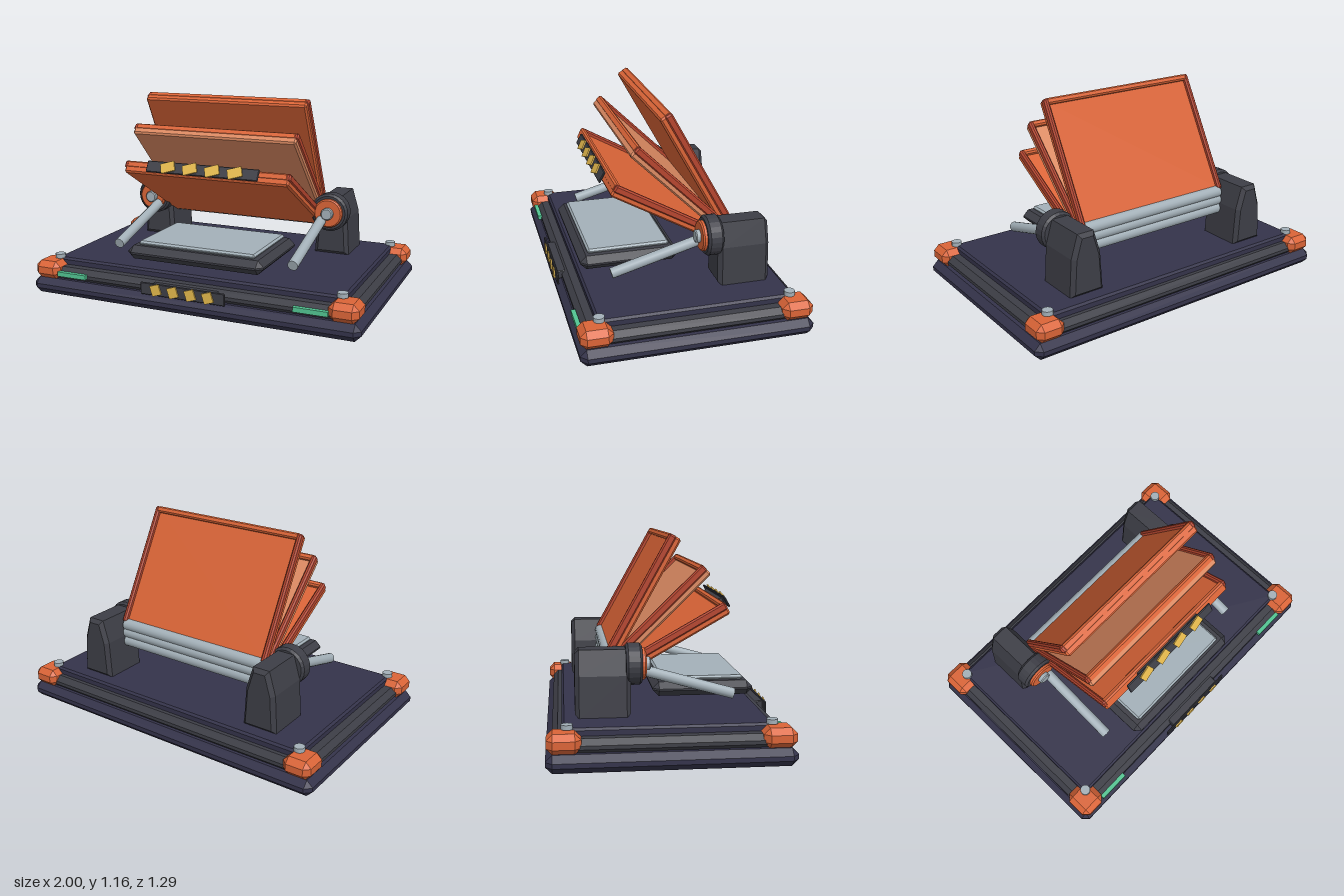
import * as THREE from 'three';
import { ConvexGeometry } from 'three/addons/geometries/ConvexGeometry.js';

const mat = (name, color) => new THREE.MeshStandardMaterial({ name, color });

// Box with all edges cut at 45 degrees, given by its limits
function chamferBox(x0, x1, y0, y1, z0, z1, c) {
  const h = [(x1 - x0) / 2, (y1 - y0) / 2, (z1 - z0) / 2];
  const pts = [];
  for (const sx of [-1, 1]) for (const sy of [-1, 1]) for (const sz of [-1, 1])
    for (let k = 0; k < 3; k++) {
      const d = h.map((v, i) => (i === k ? v : v - c));
      pts.push(new THREE.Vector3(sx * d[0], sy * d[1], sz * d[2]));
    }
  return new ConvexGeometry(pts).translate((x0 + x1) / 2, (y0 + y1) / 2, (z0 + z1) / 2);
}

export function createModel() {
  const navy = mat('navy', 0x34334a);
  const graphite = mat('graphite', 0x3d3e46);
  const orange = mat('orange', 0xda6437);
  const paleOrange = mat('pale orange', 0xdc8a62);
  const red = mat('red', 0xb5452e);
  const steel = mat('steel', 0xa3b0b8);
  const yellow = mat('yellow', 0xe3b84c);
  const green = mat('green', 0x52c492);

  const model = new THREE.Group();
  model.name = 'foldingPanelStand';
  const add = (parent, name, geometry, material) => {
    const mesh = new THREE.Mesh(geometry, material);
    mesh.name = name;
    parent.add(mesh);
    return mesh;
  };
  const box = (parent, name, material, c, ...b) => add(parent, name, chamferBox(...b, c), material);

  // Base: lower slab, rail layer and raised deck
  box(model, 'lowerSlab', navy, 0.035, -1, 1, 0, 0.095, -0.645, 0.635);
  box(model, 'railLayer', graphite, 0.03, -0.96, 0.96, 0.085, 0.165, -0.612, 0.6);
  box(model, 'deck', navy, 0.012, -0.885, 0.885, 0.1, 0.205, -0.56, 0.525);

  // Corner blocks with bolts
  for (const s of [-1, 1]) {
    for (const [z0, z1, bz] of [[0.455, 0.63, 0.515], [-0.64, -0.465, -0.535]]) {
      const x0 = s > 0 ? 0.82 : -0.985;
      box(model, 'cornerBlock', orange, 0.032, x0, x0 + 0.165, 0.092, 0.197, z0, z1);
      const bolt = add(model, 'cornerBolt', new THREE.CylinderGeometry(0.03, 0.03, 0.025, 12), steel);
      bolt.position.set(s * 0.872, 0.213, bz);
    }
    const strip = add(model, 'lightStrip', new THREE.BoxGeometry(0.19, 0.027, 0.025), green);
    strip.position.set(s * 0.73, 0.132, 0.61);
  }

  // Dark plate with a row of tilted yellow markers
  function markerPlate(parent, width, height, spacing, mw, mh) {
    const g = new THREE.Group();
    g.name = 'markerPlate';
    box(g, 'plate', graphite, 0.004, -width / 2, width / 2, -height / 2, height / 2, -0.012, 0);
    for (let i = 0; i < 4; i++) {
      const m = add(g, 'marker', new THREE.BoxGeometry(mw, mh, 0.008), yellow);
      m.position.set((i - 1.5) * spacing, 0, 0.005);
      m.rotation.z = 0.32;
    }
    parent.add(g);
    return g;
  }
  markerPlate(model, 0.515, 0.07, 0.106, 0.057, 0.06).position.set(-0.002, 0.13, 0.636);
  box(model, 'plateMount', graphite, 0.005, -0.2, 0.2, 0.105, 0.155, 0.55, 0.63);

  // Tray with its pad
  box(model, 'tray', graphite, 0.035, -0.42, 0.42, 0.245, 0.325, -0.05, 0.52);
  box(model, 'trayPad', steel, 0.011, -0.36, 0.36, 0.322, 0.349, -0.005, 0.472);

  // Towers, each with hub and support rod
  const rodFrom = new THREE.Vector3(0, 0.43, -0.13);
  const rodTo = new THREE.Vector3(0, 0.287, 0.378);
  for (const s of [-1, 1]) {
    const side = new THREE.Group();
    side.name = s > 0 ? 'leftTower' : 'rightTower';
    const bevel = 0.022;
    const profile = new THREE.Shape([
      [-0.083, 0.222], [0.083, 0.222], [0.07, 0.42], [0.035, 0.537], [-0.035, 0.537], [-0.07, 0.42],
    ].map(([x, y]) => new THREE.Vector2(x, y)));
    const tower = add(side, 'tower', new THREE.ExtrudeGeometry(profile, {
      depth: 0.295 - 2 * bevel, bevelEnabled: true, bevelSegments: 1, bevelSize: bevel, bevelThickness: bevel,
    }), graphite);
    tower.position.z = -0.49 + bevel;

    // Hub turned around the z axis
    const turned = (name, pts, material) => {
      const m = add(side, name, new THREE.LatheGeometry(pts.map(([r, z]) => new THREE.Vector2(r, z)), 24), material);
      m.rotation.x = Math.PI / 2;
      m.position.y = 0.472;
      m.material = material;
      m.geometry = m.geometry.toNonIndexed();
      m.geometry.computeVertexNormals();
    };
    turned('hub', [[0, -0.22], [0.1, -0.22], [0.113, -0.207], [0.113, -0.145], [0.1, -0.132], [0, -0.132]], graphite);
    turned('hubRing', [[0, -0.14], [0.086, -0.14], [0.086, -0.118], [0.078, -0.11], [0, -0.11]], orange);
    turned('hubPin', [[0, -0.12], [0.036, -0.12], [0.036, -0.09], [0.03, -0.084], [0, -0.084]], steel);

    const dir = rodTo.clone().sub(rodFrom);
    const rod = add(side, 'supportRod', new THREE.CylinderGeometry(0.03, 0.03, dir.length(), 14), steel);
    rod.position.copy(rodFrom).add(rodTo).multiplyScalar(0.5);
    rod.position.x = -s * 0.04;
    rod.quaternion.setFromUnitVectors(new THREE.Vector3(0, 1, 0), dir.normalize());
    side.position.x = s * 0.587;
    model.add(side);
  }

  // Three hinged panels fanned out from stacked hinge bars
  const L = 0.745;
  [
    ['lowerPanel', 29.5, 0.388, orange],
    ['middlePanel', 44.5, 0.443, paleOrange],
    ['upperPanel', 61, 0.492, orange],
  ].forEach(([name, angle, y, skin]) => {
    const p = new THREE.Group();
    p.name = name;
    box(p, 'panelSlab', skin, 0.01, -0.508, 0.508, -0.037, 0.012, 0.01, L);
    for (const s of [-1, 1]) {
      const x0 = s > 0 ? 0.485 : -0.515;
      box(p, 'sideRail', red, 0.009, x0, x0 + 0.03, -0.008, 0.037, 0.01, L);
    }
    box(p, 'endRail', orange, 0.009, -0.5, 0.5, -0.008, 0.036, L - 0.035, L + 0.002);
    const bar = add(p, 'hingeBar', new THREE.CylinderGeometry(0.035, 0.035, 1, 16), steel);
    bar.rotation.z = Math.PI / 2;
    if (name === 'lowerPanel') {
      markerPlate(p, 0.69, 0.068, 0.138, 0.085, 0.058).position.set(-0.003, 0, L + 0.036);
      box(p, 'plateMount', graphite, 0.004, -0.25, 0.25, -0.018, 0.018, L - 0.01, L + 0.03);
    }
    p.position.set(0, y, -0.3);
    p.rotation.x = -THREE.MathUtils.degToRad(angle);
    model.add(p);
  });

  return model;
}
